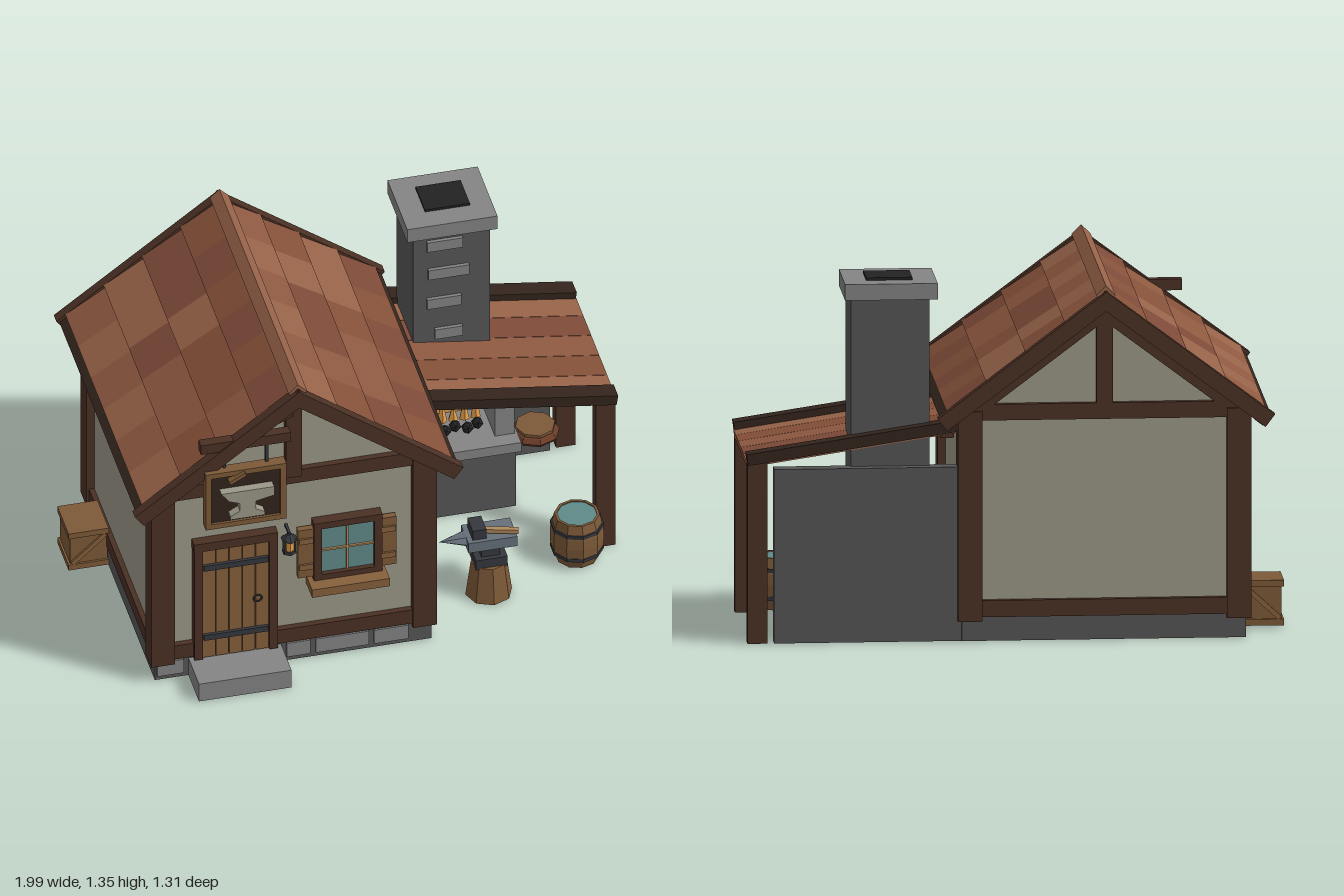
import * as THREE from 'three';

const C = {
  wall: 0x9c9888, timber: 0x4a3024, dark: 0x33241c, stone: 0x565656, paleStone: 0x848484, floor: 0x333333,
  wood: 0x7d5a38, door: 0x86603c, tan: 0xb08a5a, iron: 0x35373d, steel: 0x66707a, glass: 0x5f8a88, glow: 0xe09a48,
  roof: [0x8d5840, 0x7d4a38, 0x966248, 0x845038], leather: 0x6a3c28, soot: 0x222222,
};
const mats = {};
const mat = (color) => (mats[color] ??= new THREE.MeshStandardMaterial({ color, flatShading: true, roughness: 0.9 }));

export function createModel() {
  const root = new THREE.Group();
  const add = (name, geo, color, x = 0, y = 0, z = 0, parent = root) => {
    const m = new THREE.Mesh(geo, mat(color));
    m.name = name;
    m.position.set(x, y, z);
    parent.add(m);
    return m;
  };
  // Box given by its extents on each axis
  const box = (name, color, x0, x1, y0, y1, z0, z1, parent = root) =>
    add(name, new THREE.BoxGeometry(x1 - x0, y1 - y0, z1 - z0), color, (x0 + x1) / 2, (y0 + y1) / 2, (z0 + z1) / 2, parent);
  // Beam in the xy plane between two points
  const beam = (name, color, x0, y0, x1, y1, w, z0, z1) => {
    const len = Math.hypot(x1 - x0, y1 - y0);
    const m = add(name, new THREE.BoxGeometry(len, w, z1 - z0), color, (x0 + x1) / 2, (y0 + y1) / 2, (z0 + z1) / 2);
    m.rotation.z = Math.atan2(y1 - y0, x1 - x0);
    return m;
  };
  const group = (name, x, y, z, parent = root) => {
    const g = new THREE.Group();
    g.name = name;
    g.position.set(x, y, z);
    parent.add(g);
    return g;
  };
  const extrude = (pts, depth) =>
    new THREE.ExtrudeGeometry(new THREE.Shape(pts.map((p) => new THREE.Vector2(...p))), { depth, bevelEnabled: false });

  const CX = -0.325, CZ = -0.032;

  // House walls, foundation and step
  box('foundation', C.stone, -0.847, 0.2, 0, 0.09, -0.555, 0.492);
  box('floorUnderside', C.floor, -0.84, 0.193, -0.001, 0.01, -0.55, 0.488);
  add('houseWalls', extrude([[-0.835, 0.09], [0.185, 0.09], [0.185, 0.855], [CX, 1.245], [-0.835, 0.855]], 1.02), C.wall, 0, 0, -0.542);
  box('doorStep', C.paleStone, -0.72, -0.37, 0, 0.08, 0.47, 0.655);
  for (const [a, b] of [[-0.84, -0.74], [-0.35, -0.26], [-0.24, -0.04], [-0.02, 0.11]])
    box('foundationStone', C.paleStone, a, b, 0.022, 0.085, 0.48, 0.503);

  // Timber frame
  for (const x of [-0.82, 0.17]) for (const z of [0.466, -0.528])
    box('cornerPost', C.timber, x - 0.045, x + 0.045, 0.075, 0.86, z - 0.046, z + 0.046);
  for (const [z0, z1, s] of [[0.46, 0.502, 1], [-0.565, -0.525, -1]]) {
    box('sillBeam', C.timber, -0.83, 0.18, 0.09, 0.152, z0, z1);
    box('tieBeam', C.timber, -0.85, 0.2, 0.825, 0.885, z0, z1);
    box('kingPost', C.timber, CX - 0.03, CX + 0.03, 0.86, 1.25, z0 + s * 0.005, z1 + s * 0.008);
    for (const k of [-1, 1]) beam('gableRafter', C.timber, CX + k * 0.53, 0.825, CX, 1.225, 0.055, z0, z1);
  }
  for (const [x0, x1] of [[-0.855, -0.82], [0.17, 0.205]]) {
    box('sideSill', C.timber, x0, x1, 0.09, 0.152, -0.53, 0.47);
    box('sidePlate', C.timber, x0, x1, 0.79, 0.85, -0.53, 0.47);
  }

  // Main roof: two slopes of stepped tiles with edge boards
  const pitch = Math.atan(0.75);
  for (const side of [0, 1]) {
    const turn = group('roofSlope', CX, 1.305, CZ);
    turn.rotation.y = side * Math.PI;
    const g = group('roofCourses', 0, 0, 0, turn);
    g.rotation.z = -pitch;
    box('sheathing', C.dark, 0.02, 0.75, -0.045, -0.018, -0.58, 0.58, g);
    for (let r = 0; r < 4; r++) for (let c = 0; c < 6; c++) {
      const t = add('roofTile', new THREE.BoxGeometry(0.187, 0.024, 0.194), C.roof[(r * 3 + c * 2 + ((r * c + side) % 3)) % 4],
        0.092 + r * 0.181, -0.01, (c - 2.5) * 0.194, g);
      t.rotation.z = 0.07;
    }
    box('eaveBoard', C.dark, 0.725, 0.765, -0.055, -0.005, -0.59, 0.59, g);
    for (const s of [-1, 1]) box('bargeBoard', C.timber, -0.01, 0.77, -0.05, 0.008, s * 0.602 - 0.02, s * 0.602 + 0.02, g);
  }
  add('ridgeCap', new THREE.BoxGeometry(0.05, 0.05, 1.205), C.roof[2], CX, 1.3, CZ).rotation.z = Math.PI / 4;

  // Door
  box('doorBacking', C.dark, -0.7, -0.39, 0.09, 0.6, 0.47, 0.497);
  box('doorHead', C.timber, -0.705, -0.388, 0.585, 0.622, 0.48, 0.52);
  for (const x of [-0.687, -0.404]) box('doorJamb', C.timber, x - 0.016, x + 0.016, 0.085, 0.6, 0.48, 0.52);
  for (let i = 0; i < 5; i++) box('doorPlank', C.door, -0.669 + i * 0.05, -0.622 + i * 0.05, 0.085, 0.585, 0.48, 0.51);
  for (const y of [0.505, 0.183]) box('doorStrap', C.iron, -0.668, -0.425, y - 0.012, y + 0.012, 0.505, 0.522);
  add('doorRing', new THREE.TorusGeometry(0.015, 0.004, 5, 10), C.iron, -0.465, 0.333, 0.522);

  // Window with shutters
  box('windowGlass', C.glass, -0.23, -0.015, 0.38, 0.62, 0.48, 0.503);
  for (const y of [0.382, 0.622]) box('windowRail', C.timber, -0.252, 0.007, y - 0.014, y + 0.014, 0.48, 0.522);
  for (const x of [-0.237, -0.008]) box('windowStile', C.timber, x - 0.015, x + 0.015, 0.37, 0.635, 0.48, 0.522);
  box('muntin', C.tan, -0.126, -0.119, 0.39, 0.61, 0.5, 0.511);
  box('muntin', C.tan, -0.222, -0.023, 0.496, 0.503, 0.5, 0.511);
  box('windowSill', C.door, -0.272, 0.022, 0.336, 0.372, 0.48, 0.573);
  for (const x of [-0.281, 0.031]) {
    box('shutter', C.wood, x - 0.03, x + 0.03, 0.39, 0.61, 0.49, 0.515);
    for (const y of [0.44, 0.56]) box('shutterBatten', C.door, x - 0.026, x + 0.026, y - 0.012, y + 0.012, 0.51, 0.522);
  }

  // Wall lantern
  const lantern = group('lantern', -0.35, 0, 0.537);
  add('lanternGlow', new THREE.CylinderGeometry(0.02, 0.02, 0.05, 6), C.glow, 0, 0.575, 0, lantern);
  add('lanternBase', new THREE.CylinderGeometry(0.026, 0.028, 0.012, 6), C.iron, 0, 0.545, 0, lantern);
  add('lanternCap', new THREE.CylinderGeometry(0.008, 0.033, 0.022, 6), C.iron, 0, 0.611, 0, lantern);
  for (const [x, z] of [[-1, -1], [-1, 1], [1, -1], [1, 1]])
    box('lanternBar', C.iron, x * 0.018 - 0.003, x * 0.018 + 0.003, 0.545, 0.605, z * 0.016 - 0.003, z * 0.016 + 0.003, lantern);
  box('lanternHook', C.iron, -0.005, 0.005, 0.62, 0.632, -0.05, 0.005, lantern);

  // Hanging sign
  box('signArm', C.timber, -0.695, -0.355, 1.088, 1.13, 0.545, 0.583);
  beam('signBrace', C.timber, -0.6, 1.09, -0.345, 1.2, 0.025, 0.535, 0.565);
  for (const x of [-0.605, -0.445]) box('signRod', C.iron, x - 0.006, x + 0.006, 1, 1.09, 0.57, 0.582);
  box('signBoard', C.dark, -0.67, -0.39, 0.765, 1, 0.572, 0.6);
  for (const y of [0.766, 1]) box('signRail', C.wood, -0.683, -0.378, y - 0.011, y + 0.011, 0.566, 0.61);
  for (const x of [-0.672, -0.389]) box('signStile', C.wood, x - 0.011, x + 0.011, 0.766, 1, 0.566, 0.61);
  add('signAnvil', extrude([[-0.1, 0.06], [-0.07, 0.02], [-0.03, 0.005], [-0.03, -0.03], [-0.065, -0.05], [-0.065, -0.065], [0.065, -0.065],
    [0.065, -0.05], [0.03, -0.03], [0.03, 0.005], [0.1, 0.02], [0.1, 0.06]], 0.033), C.wall, -0.53, 0.87, 0.6);
  beam('signHammer', C.wood, -0.595, 0.967, -0.535, 1, 0.015, 0.6, 0.625);

  // Crate beside the house
  box('crate', C.wood, -0.992, -0.85, 0.01, 0.175, -0.372, -0.216);
  for (const y of [0.02, 0.165]) box('crateRail', C.wood, -1, -0.848, y - 0.012, y + 0.012, -0.38, -0.208);
  beam('crateBrace', C.door, -0.985, 0.035, -0.86, 0.15, 0.018, -0.38, -0.208);

  // Lean-to: posts, sloping beams, roof planks and back wall
  box('forgeBackWall', C.stone, 0.19, 0.89, 0, 0.65, -0.55, -0.49);
  for (const [z, zb] of [[0.088, 0.102], [-0.525, -0.532]]) {
    box('leanToPost', C.timber, 0.915, 0.988, 0, 0.685, z - 0.025, z + 0.025);
    beam('leanToBeam', C.dark, 0.19, 0.81, 0.99, 0.689, 0.042, zb - 0.035, zb + 0.035);
  }
  for (let i = 0; i < 5; i++)
    beam('leanToPlank', C.roof[(i * 3 + 2) % 4], 0.19, 0.79, 0.99, 0.667, 0.03, -0.515 + i * 0.122, -0.395 + i * 0.122);
  for (const x of [0.25, 0.94]) box('leanToPurlin', C.timber, x - 0.025, x + 0.025, 0.75 - (x - 0.25) * 0.15, 0.775 - (x - 0.25) * 0.15, -0.5, 0.08);

  // Forge hearth, hood and chimney
  box('forgeBase', C.stone, 0.235, 0.69, 0, 0.28, -0.5, -0.2);
  box('hearthSlab', C.paleStone, 0.225, 0.7, 0.28, 0.322, -0.5, -0.16);
  for (const [a, b] of [[0.23, 0.305], [0.615, 0.69]]) box('hoodPier', C.paleStone, a, b, 0.322, 0.51, -0.5, -0.22);
  box('hoodLintel', C.paleStone, 0.23, 0.69, 0.51, 0.592, -0.5, -0.22);
  box('fireBack', C.glow, 0.3, 0.62, 0.322, 0.51, -0.495, -0.4);
  box('chimney', C.stone, 0.315, 0.605, 0.59, 1.28, -0.51, -0.257);
  box('chimneyCap', C.paleStone, 0.287, 0.628, 1.275, 1.335, -0.537, -0.233);
  box('flue', C.soot, 0.375, 0.545, 1.33, 1.345, -0.462, -0.32);
  for (const [x0, x1, y] of [[0.365, 0.5, 1.228], [0.37, 0.525, 1.098], [0.365, 0.495, 0.962], [0.395, 0.5, 0.818], [0.365, 0.495, 0.68]])
    box('chimneyStone', C.paleStone, x0, x1, y - 0.022, y + 0.022, -0.26, -0.243);
  for (let i = 0; i < 6; i++) {
    const x = 0.355 + i * 0.042;
    add('coal', new THREE.IcosahedronGeometry(0.024, 0), C.soot, x, 0.342, -0.27 - (i % 2) * 0.02);
    add('flame', new THREE.ConeGeometry(0.02, 0.07 + (i % 3) * 0.022, 5), C.glow, x, 0.385 + (i % 3) * 0.011, -0.32);
  }

  // Bellows and hanging tools
  const bellows = add('bellows', new THREE.SphereGeometry(1, 8, 6), C.leather, 0.78, 0.275, -0.272);
  bellows.scale.set(0.092, 0.033, 0.088);
  add('bellowsBoard', new THREE.CylinderGeometry(0.075, 0.075, 0.012, 8), C.wood, 0.78, 0.304, -0.272);
  for (const x of [0.805, 0.875]) {
    box('toolHandle', C.iron, x - 0.007, x + 0.007, 0.31, 0.55, -0.49, -0.475);
    box('toolHead', C.iron, x - 0.012, x + 0.012, 0.31, 0.35, -0.49, -0.47);
  }

  // Anvil on its stump, with a hammer
  const anvil = group('anvil', 0.47, 0, 0.27);
  add('stump', new THREE.CylinderGeometry(0.068, 0.088, 0.15, 8), C.wood, 0, 0.075, 0, anvil);
  box('anvilFoot', C.iron, -0.06, 0.06, 0.145, 0.188, -0.05, 0.05, anvil);
  box('anvilWaist', C.iron, -0.035, 0.035, 0.185, 0.238, -0.032, 0.032, anvil);
  box('anvilTop', C.steel, -0.09, 0.095, 0.236, 0.28, -0.058, 0.058, anvil);
  const horn = add('anvilHorn', new THREE.ConeGeometry(0.045, 0.1, 6), C.steel, -0.138, 0.262, 0, anvil);
  horn.rotation.z = Math.PI / 2;
  horn.scale.x = 0.5;
  box('hammerHead', C.iron, -0.07, -0.018, 0.28, 0.322, -0.042, 0.042, anvil);
  add('hammerHandle', new THREE.BoxGeometry(0.14, 0.017, 0.02), C.tan, 0.035, 0.296, 0.025, anvil).rotation.y = -0.28;

  // Water barrel
  const barrel = group('waterBarrel', 0.835, 0, 0.145);
  const profile = [[0, 0.005], [0.08, 0.005], [0.098, 0.06], [0.1, 0.1], [0.098, 0.14], [0.084, 0.2], [0.074, 0.2], [0.074, 0.18]];
  add('barrelStaves', new THREE.LatheGeometry(profile.map((p) => new THREE.Vector2(...p)), 10), C.wood, 0, 0, 0, barrel);
  add('barrelWater', new THREE.CylinderGeometry(0.078, 0.078, 0.01, 10), C.glass, 0, 0.191, 0, barrel);
  for (const y of [0.05, 0.155]) add('barrelHoop', new THREE.CylinderGeometry(0.099, 0.099, 0.014, 10), C.iron, 0, y, 0, barrel);

  return root;
}
